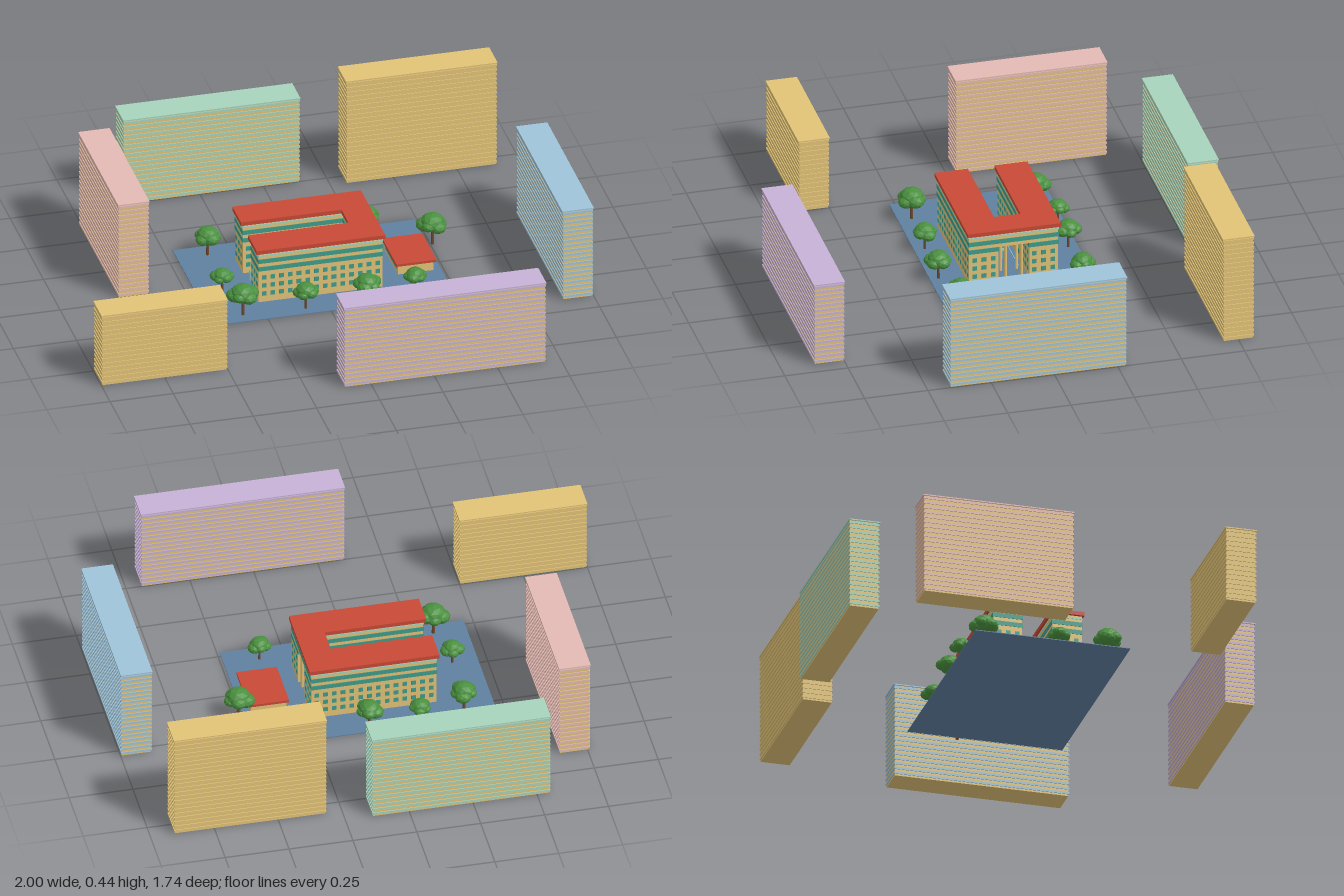
import * as THREE from 'three';

const mat = (name, color) => Object.assign(new THREE.MeshStandardMaterial({ color }), { name });

export function createModel() {
  const M = {
    sand: mat('sand', 0xe2c377), green: mat('sage green', 0xa6d3bc), pink: mat('dusty pink', 0xe3b9b4),
    blue: mat('pale blue', 0x9ec3d9), purple: mat('lilac', 0xc5b1d5), red: mat('roof red', 0xc84937),
    ground: mat('paving blue', 0x5f80a0), leaf: mat('leaf green', 0x4a903f),
    bark: mat('bark', 0x6b4a30), teal: mat('window teal', 0x3f9c8c),
  };
  M.leaf.flatShading = true;
  const root = new THREE.Group();
  root.name = 'campus';

  const group = (name, parent = root) => {
    const g = new THREE.Group();
    g.name = name;
    parent.add(g);
    return g;
  };
  const add = (parent, name, geo, material, x = 0, y = 0, z = 0) => {
    const m = new THREE.Mesh(geo, material);
    m.name = name;
    m.position.set(x, y, z);
    parent.add(m);
    return m;
  };
  // Box given by its limits on each axis
  const box = (parent, name, material, x0, x1, y0, y1, z0, z1) =>
    add(parent, name, new THREE.BoxGeometry(x1 - x0, y1 - y0, z1 - z0), material,
      (x0 + x1) / 2, (y0 + y1) / 2, (z0 + z1) / 2);

  // Paved yard
  const Y = 0.003;
  box(root, 'yard', M.ground, -0.465, 0.489, 0, Y, -0.343, 0.272);

  // Apartment blocks: sand walls with a coloured band on each floor and a coloured roof
  const FLOOR = 0.02;
  const block = (name, color, x0, x1, z0, z1, floors) => {
    const g = group(name);
    const h = floors * FLOOR, i = 0.005, j = 0.002;
    box(g, 'walls', M.sand, x0 + i, x1 - i, 0, h, z0 + i, z1 - i);
    for (let f = 0; f < floors; f++) {
      const y = f * FLOOR + 0.007;
      box(g, 'floorBand', color, x0 + j, x1 - j, y, y + 0.009, z0 + j, z1 - j);
    }
    box(g, 'roof', color, x0, x1, h, h + 0.005, z0, z1);
  };
  block('backLeftBlock', M.sand, 0.31, 0.909, -0.813, -0.688, 22);
  block('backBlock', M.green, -0.554, 0.146, -0.87, -0.747, 18);
  block('rightBlock', M.pink, -0.762, -0.638, -0.634, -0.034, 20);
  block('leftBlock', M.blue, 0.876, 1, -0.287, 0.412, 19);
  block('frontRightBlock', M.sand, -1, -0.5, 0.498, 0.622, 15);
  block('frontLeftBlock', M.purple, -0.107, 0.692, 0.747, 0.87, 17);

  // School: two long wings joined by a raised link, open at the right end
  const school = group('school');
  const wing = (name, z0, z1) => {
    const g = group(name, school);
    const x0 = -0.252, x1 = 0.237, a = z0 + 0.008, b = z1 - 0.008, t = 0.002;
    box(g, 'walls', M.sand, x0, x1, Y, 0.216, a, b);
    box(g, 'cornice', M.green, x0 - t, x1 + t, 0.2, 0.207, a - t, b + t);
    // Upper window strips
    for (const y of [0.137, 0.17]) {
      box(g, 'windowStrip', M.teal, x0 - t, x1 + t, y, y + 0.018, a - t, b + t);
    }
    // Lower windows along both sides and across the ends
    for (const y of [0.03, 0.065, 0.1]) {
      for (let k = 0; k < 14; k++) {
        const x = x0 + 0.012 + k * 0.0345;
        box(g, 'window', M.teal, x, x + 0.018, y, y + 0.018, a - t, b + t);
      }
      for (let k = 0; k < 3; k++) {
        const z = a + 0.013 + k * 0.036;
        box(g, 'endWindow', M.teal, x0 - t, x1 + t, y, y + 0.018, z, z + 0.018);
      }
    }
  };
  wing('backWing', -0.22, -0.09);
  wing('frontWing', 0.015, 0.147);

  const link = group('link', school);
  box(link, 'walls', M.sand, 0.143, 0.237, 0.155, 0.216, -0.1, 0.025);
  box(link, 'windowStrip', M.teal, 0.141, 0.239, 0.17, 0.188, -0.098, 0.023);
  box(link, 'cornice', M.green, 0.141, 0.239, 0.2, 0.207, -0.098, 0.023);
  for (const x of [0.15, 0.228]) {
    for (const z of [-0.07, -0.007]) {
      add(link, 'column', new THREE.CylinderGeometry(0.006, 0.006, 0.153, 8), M.sand, x, 0.0795, z);
    }
  }

  // One flat U-shaped roof over the wings and link
  const outline = [[-0.262, -0.147], [0.246, -0.147], [0.246, 0.22], [-0.262, 0.22],
    [-0.262, 0.09], [0.135, 0.09], [0.135, -0.015], [-0.262, -0.015]];
  const roofShape = new THREE.Shape(outline.map(([x, y]) => new THREE.Vector2(x, y)));
  const roofGeo = new THREE.ExtrudeGeometry(roofShape, { depth: 0.016, bevelEnabled: false });
  add(school, 'roof', roofGeo, M.red, 0, 0.214, 0).rotation.x = -Math.PI / 2;

  // Low hall beside the school
  const hall = group('hall');
  box(hall, 'walls', M.sand, 0.318, 0.458, Y, 0.042, -0.137, 0.062);
  box(hall, 'windowStrip', M.teal, 0.316, 0.46, 0.02, 0.032, -0.12, 0.045);
  box(hall, 'roof', M.red, 0.31, 0.468, 0.042, 0.052, -0.145, 0.072);

  // Sports court lines in the courtyard
  const court = group('court');
  const line = (x0, x1, z0, z1) => box(court, 'line', M.green, x0, x1, Y, Y + 0.0015, z0, z1);
  for (const z of [-0.084, 0.008]) line(-0.2, 0.13, z, z + 0.002);
  for (const x of [-0.2, 0.004]) line(x, x + 0.002, -0.06, -0.015);
  const ring = add(court, 'centreCircle', new THREE.RingGeometry(0.016, 0.0185, 24), M.green, -0.068, Y + 0.0015, -0.037);
  ring.rotation.x = -Math.PI / 2;
  // Hoops at both ends
  for (const x of [-0.24, 0.06]) {
    add(court, 'hoopPost', new THREE.CylinderGeometry(0.002, 0.002, 0.04, 6), M.green, x, Y + 0.02, -0.037);
    box(court, 'backboard', M.green, x - 0.001, x + 0.001, 0.035, 0.047, -0.047, -0.027);
  }

  // Trees: thin trunk with a flattened crown of overlapping lumps
  const trunkGeo = new THREE.CylinderGeometry(0.07, 0.11, 1.5, 7);
  const lumpGeo = new THREE.IcosahedronGeometry(1, 1);
  const tree = (x, z, r, n) => {
    const g = group('tree');
    g.position.set(x, Y, z);
    g.scale.setScalar(r);
    g.rotation.y = n * 1.3;
    add(g, 'trunk', trunkGeo, M.bark, 0, 0.75, 0);
    add(g, 'crown', lumpGeo, M.leaf, 0, 1.58, 0).scale.set(0.8, 0.62, 0.8);
    for (let k = 0; k < 5; k++) {
      const a = k * Math.PI * 0.4, s = 0.46 + 0.07 * ((k * 2 + n) % 3);
      add(g, 'crownLump', lumpGeo, M.leaf, Math.cos(a) * 0.5, 1.38 + 0.1 * (k % 2), Math.sin(a) * 0.5)
        .scale.set(s, s * 0.75, s);
    }
  };
  [[-0.345, -0.275, 0.055], [-0.165, -0.315, 0.045], [0.032, -0.305, 0.053], [0.29, -0.295, 0.05],
    [0.508, -0.14, 0.06], [-0.365, 0.02, 0.045], [-0.335, 0.218, 0.06], [-0.09, 0.23, 0.05],
    [0.15, 0.238, 0.054], [0.35, 0.2, 0.045]].forEach(([x, z, r], n) => tree(x, z, r, n));

  return root;
}
